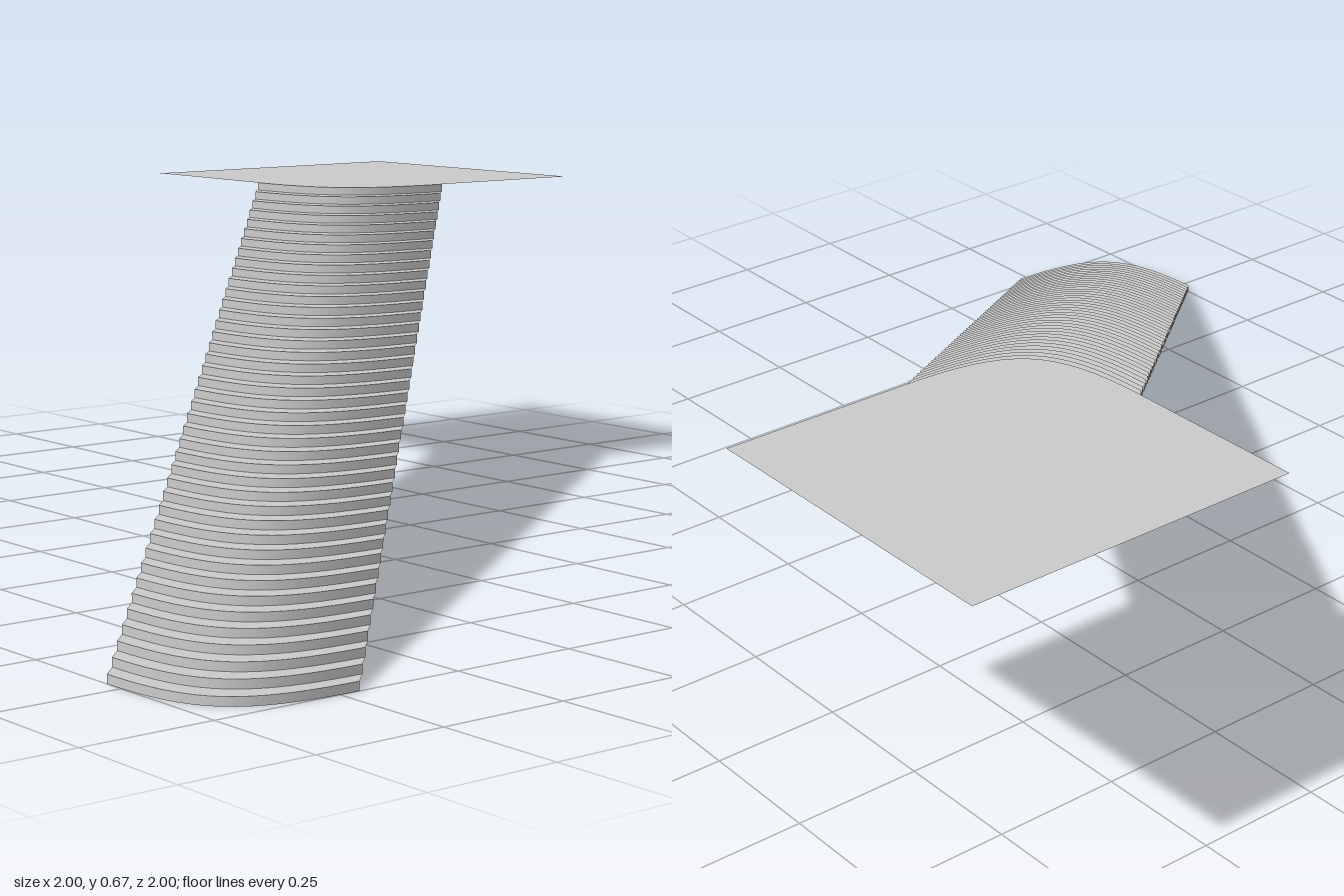
import * as THREE from 'three';
import { mergeGeometries } from 'three/addons/utils/BufferGeometryUtils.js';

const STEPS = 40;            // steps below the landing
const RUN = 1.335 / STEPS;   // diagonal advance of each step, in x and in -z
const RISE = 0.67 / (STEPS + 1);

// Rounded nosing of the lowest step, from its -x end to its +z end
const nosing = new THREE.CubicBezierCurve(
  new THREE.Vector2(-1, 0.71), new THREE.Vector2(-1, 0.94),
  new THREE.Vector2(-0.94, 1), new THREE.Vector2(-0.71, 1)
).getPoints(16);

// Nosing line of step i at height level h
const nosingAt = (i, h) =>
  nosing.map(p => new THREE.Vector3(p.x + i * RUN, h * RISE, p.y - i * RUN));

// Surface between two lines with equal point counts
function ribbon(a, b) {
  const n = a.length;
  const index = [];
  for (let k = 0; k < n - 1; k++) {
    index.push(k, k + 1, n + k + 1, k, n + k + 1, n + k);
  }
  const geometry = new THREE.BufferGeometry().setFromPoints([...a, ...b]);
  geometry.setIndex(index);
  geometry.computeVertexNormals();
  return geometry;
}

export function createModel() {
  const group = new THREE.Group();
  group.name = 'staircase';
  const material = new THREE.MeshStandardMaterial({ color: 0xcccccc, side: THREE.DoubleSide });
  const add = (name, geometry) => {
    const mesh = new THREE.Mesh(geometry, material);
    mesh.name = name;
    group.add(mesh);
    return mesh;
  };

  // Thin curved risers and treads, open underneath
  const risers = [];
  const treads = [];
  for (let i = 0; i <= STEPS; i++) {
    risers.push(ribbon(nosingAt(i, i), nosingAt(i, i + 1)));
    if (i < STEPS) treads.push(ribbon(nosingAt(i, i + 1), nosingAt(i + 1, i + 1)));
  }
  add('risers', mergeGeometries(risers));
  add('treads', mergeGeometries(treads));

  // Square landing with one rounded corner, flush with the top riser
  const outline = nosingAt(STEPS, 0).map(p => new THREE.Vector2(p.x, -p.z));
  outline.push(new THREE.Vector2(1, 0.335), new THREE.Vector2(1, 1), new THREE.Vector2(0.335, 1));
  const landing = add('landing', new THREE.ShapeGeometry(new THREE.Shape(outline)));
  landing.rotation.x = -Math.PI / 2;
  landing.position.y = (STEPS + 1) * RISE;

  return group;
}
